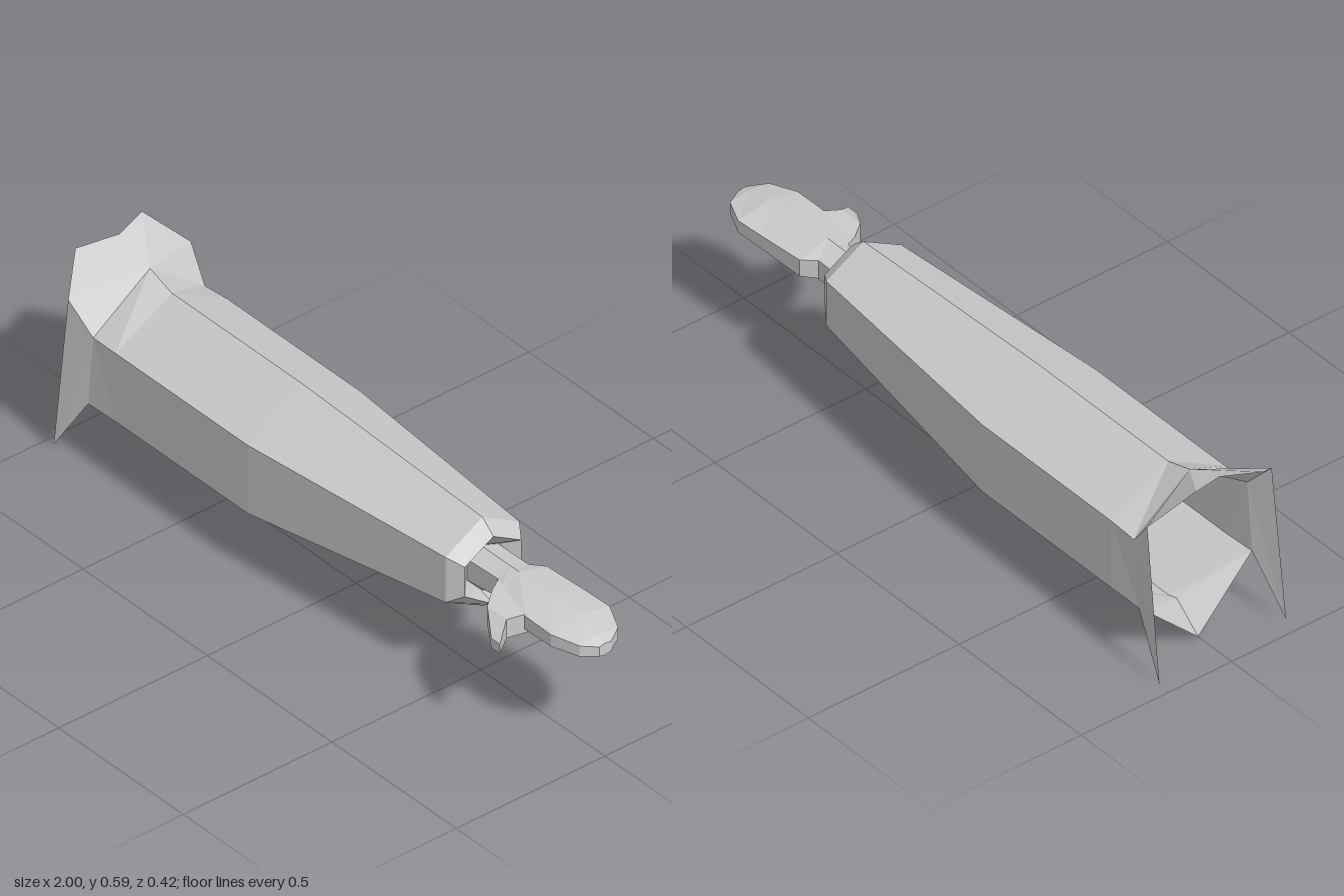
import * as THREE from 'three';

const cloth = new THREE.MeshStandardMaterial({ color: 0xcccccc, side: THREE.DoubleSide, flatShading: true });
cloth.name = 'pale grey';

// Flat-faceted mesh from a list of triangles, each three [x, y, z] corners
function facetMesh(name, tris) {
  const geo = new THREE.BufferGeometry();
  geo.setAttribute('position', new THREE.Float32BufferAttribute(tris.flat(2), 3));
  geo.computeVertexNormals();
  const mesh = new THREE.Mesh(geo, cloth);
  mesh.name = name;
  return mesh;
}

// Skin between successive rings; optionally close the last one
function loft(rings, capEnd) {
  const tris = [];
  const n = rings[0].length;
  for (let i = 0; i + 1 < rings.length; i++) {
    for (let j = 0; j < n; j++) {
      const k = (j + 1) % n;
      const a = rings[i][j], b = rings[i][k], c = rings[i + 1][k], d = rings[i + 1][j];
      tris.push([a, b, c], [a, c, d]);
    }
  }
  const last = rings[rings.length - 1];
  if (capEnd) for (let j = 1; j + 1 < n; j++) tris.push([last[0], last[j], last[j + 1]]);
  return tris;
}

// Six-sided section: ridge on top, two flat sides, keel below
function hexRing(x, top, upper, lower, bottom, front, back, mid = 0) {
  return [
    [x, top, mid], [x, upper, front], [x, lower, front],
    [x, bottom, mid], [x, lower, back], [x, upper, back],
  ];
}

export function createModel() {
  const group = new THREE.Group();
  group.name = 'sleevedArm';

  // Sleeve, with its cuff turned in to meet the wrist
  const shoulder = [
    [-0.84, 0.533, -0.01], [-0.84, 0.4, 0.181], [-0.855, 0.185, 0.185],
    [-0.775, 0.073, 0], [-0.855, 0.178, -0.19], [-0.84, 0.393, -0.195],
  ];
  const sleeve = loft([
    shoulder,
    hexRing(-0.75, 0.505, 0.4, 0.184, 0.073, 0.181, -0.196, -0.008),
    hexRing(-0.22, 0.505, 0.4, 0.184, 0.075, 0.181, -0.196, -0.008),
    hexRing(0.5, 0.48, 0.41, 0.267, 0.2, 0.118, -0.131, -0.007),
    hexRing(0.545, 0.444, 0.39, 0.297, 0.23, 0.09, -0.1, -0.006),
    hexRing(0.5, 0.395, 0.372, 0.305, 0.255, 0.046, -0.06),
  ], false);
  group.add(facetMesh('sleeve', sleeve));

  // Flared, pointed collar around the open shoulder end
  const [top, upF, loF, keel, loB, upB] = shoulder;
  const notch = [-0.96, 0.578, -0.008];
  const flare = (upper, lower, crest, corner, tip) => [
    [top, notch, crest], [top, crest, corner], [top, corner, upper],
    [upper, corner, tip], [upper, tip, lower],
  ];
  const collar = [
    ...flare(upF, loF, [-1, 0.563, 0.107], [-0.92, 0.485, 0.198], [-0.96, 0.012, 0.213]),
    ...flare(upB, loB, [-0.985, 0.591, -0.105], [-0.915, 0.485, -0.211], [-0.96, 0, -0.207])
      .map(([a, b, c]) => [a, c, b]),
  ];
  const keelTip = [-0.875, 0.012, -0.01];
  collar.push([loF, keelTip, keel], [keel, keelTip, loB]);
  group.add(facetMesh('collar', collar));

  // Wrist and mitten-like hand
  const hand = loft([
    hexRing(0.5, 0.395, 0.372, 0.305, 0.255, 0.046, -0.06),
    hexRing(0.62, 0.395, 0.373, 0.315, 0.298, 0.042, -0.06),
    hexRing(0.655, 0.396, 0.37, 0.318, 0.305, 0.06, -0.094),
    hexRing(0.79, 0.394, 0.368, 0.326, 0.308, 0.09, -0.103),
    hexRing(0.89, 0.387, 0.366, 0.329, 0.32, 0.09, -0.108),
    hexRing(0.97, 0.37, 0.36, 0.326, 0.32, 0.06, -0.07),
    hexRing(1, 0.358, 0.354, 0.324, 0.32, 0.018, -0.02),
  ], true);
  group.add(facetMesh('hand', hand));

  // Thumb: four-sided sections running out along +z
  const thumbRing = (z, x0, x1, y0, y1) => [[x0, y0, z], [x1, y0, z], [x1, y1, z], [x0, y1, z]];
  const thumb = loft([
    thumbRing(0.035, 0.62, 0.77, 0.318, 0.375),
    thumbRing(0.08, 0.643, 0.785, 0.312, 0.37),
    thumbRing(0.132, 0.685, 0.762, 0.304, 0.363),
    thumbRing(0.183, 0.762, 0.797, 0.297, 0.327),
  ], true);
  group.add(facetMesh('thumb', thumb));

  return group;
}
